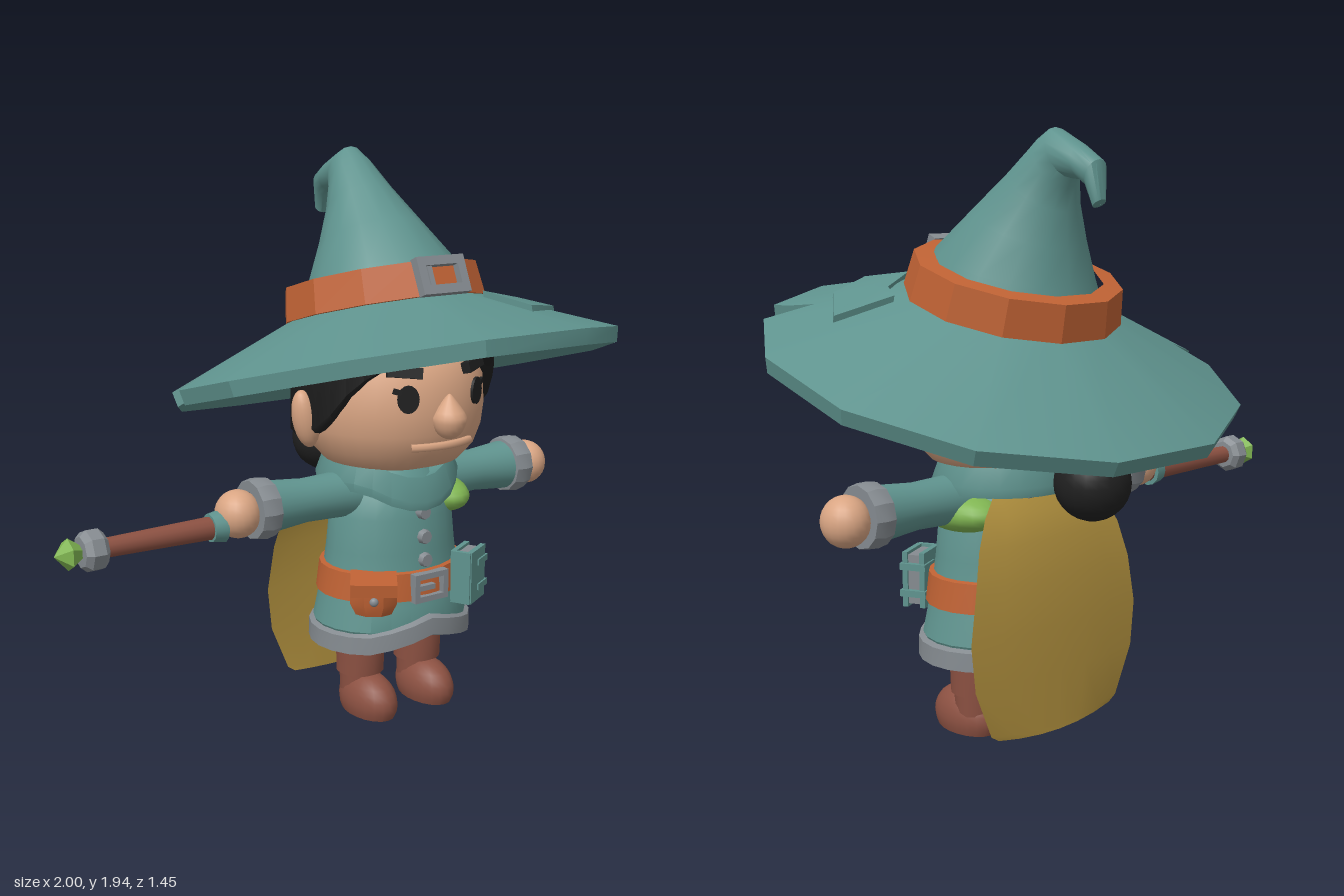
import * as THREE from 'three';
import { toCreasedNormals } from 'three/addons/utils/BufferGeometryUtils.js';

const mat = (name, color, side = THREE.FrontSide) => {
  const m = new THREE.MeshStandardMaterial({ color, side });
  m.name = name;
  return m;
};

// Joins rings of [x, y, z] points into a surface
function loft(rings, crease = 0.6, closed = true) {
  const n = rings[0].length, idx = [];
  for (let i = 0; i < rings.length - 1; i++) {
    for (let j = 0; j < (closed ? n : n - 1); j++) {
      const a = i * n + j, b = i * n + ((j + 1) % n), c = a + n, d = b + n;
      idx.push(a, c, b, b, c, d);
    }
  }
  const g = new THREE.BufferGeometry();
  g.setAttribute('position', new THREE.Float32BufferAttribute(rings.flat(2), 3));
  g.setIndex(idx);
  return toCreasedNormals(g, crease);
}

// Elliptical turned form from [radius, y] pairs, bottom to top
function turned(profile, sz = 1, n = 24, offset = 0, crease = 0.6, rule = (x, y, z) => [x, y, z]) {
  return loft(profile.map(([r, y]) => Array.from({ length: n }, (_, j) => {
    const a = offset + (j / n) * Math.PI * 2;
    return rule(r * Math.cos(a), y, r * sz * Math.sin(a));
  })), crease);
}

// Rectangular buckle with an open middle
function frame(w, h, t, depth) {
  const rect = (T, a, b) => new T([[-a, -b], [a, -b], [a, b], [-a, b]].map(p => new THREE.Vector2(...p)));
  const s = rect(THREE.Shape, w / 2, h / 2);
  s.holes.push(rect(THREE.Path, w / 2 - t, h / 2 - t));
  return new THREE.ExtrudeGeometry(s, { depth, bevelEnabled: false });
}

export function createModel() {
  const teal = mat('teal cloth', 0x5f938e, THREE.DoubleSide), orange = mat('orange leather', 0xbf6234);
  const skin = mat('skin', 0xd9a583), black = mat('black hair', 0x202020, THREE.DoubleSide);
  const grey = mat('grey metal', 0x858b90), brown = mat('brown leather', 0x8c5142);
  const green = mat('green', 0x80b552), gold = mat('gold cape', 0xb3923f, THREE.DoubleSide);

  const model = new THREE.Group();
  model.name = 'wizard';
  const body = new THREE.Group();
  body.name = 'figure';
  body.position.x = 0.25;
  model.add(body);

  const add = (name, geo, m, x = 0, y = 0, z = 0, rx = 0, ry = 0, rz = 0, parent = body) => {
    const mesh = new THREE.Mesh(geo, m);
    mesh.name = name;
    mesh.position.set(x, y, z);
    mesh.rotation.set(rx, ry, rz);
    parent.add(mesh);
    return mesh;
  };
  const box = (w, h, d) => new THREE.BoxGeometry(w, h, d);
  const ball = (rx, ry, rz) => new THREE.SphereGeometry(1, 20, 14).scale(rx, ry, rz);

  // Robe, hem and belt
  add('robe', turned([[0.01, 0.31], [0.27, 0.31], [0.285, 0.34], [0.268, 0.42], [0.25, 0.5], [0.237, 0.6],
    [0.225, 0.72], [0.2, 0.8], [0.14, 0.87], [0.1, 0.9]], 0.83), teal);
  const peak = (x, y, z) => [x, y + (z > 0 ? 0.055 * Math.max(0, 1 - Math.abs(x) / 0.22) : 0), z];
  add('hem', turned([[0.25, 0.275], [0.27, 0.255], [0.302, 0.265], [0.3, 0.325], [0.275, 0.335]], 0.83, 24, 0, 0.6, peak), grey);
  add('belt', turned([[0.24, 0.44], [0.274, 0.445], [0.262, 0.54], [0.235, 0.545]], 0.83), orange);
  add('beltBuckle', frame(0.14, 0.1, 0.02, 0.03), grey, 0, 0.49, 0.212);
  add('beltPin', box(0.07, 0.018, 0.02), grey, -0.02, 0.49, 0.232);
  for (const [y, z] of [[0.74, 0.187], [0.655, 0.194], [0.575, 0.2]])
    add('button', new THREE.CylinderGeometry(0.022, 0.03, 0.03, 8).rotateX(Math.PI / 2), grey, 0, y, z);

  // Collar dipping at the front
  add('collar', turned([[0.25, 0.82], [0.255, 0.85], [0.225, 0.93], [0.13, 0.87]], 0.92, 24, 0, 0.6, (x, y, z) => {
    const d = Math.max(0, z / Math.hypot(x, z) - 0.6) / 0.4;
    return [x, y - 0.07 * d, z - 0.025];
  }), teal);

  // Pouch and book on the belt
  const pouch = new THREE.Group();
  pouch.name = 'pouch';
  pouch.position.set(-0.2, 0.48, 0.18);
  pouch.rotation.y = -0.6;
  body.add(pouch);
  add('pouchBag', turned([[0.01, -0.065], [0.065, -0.06], [0.085, -0.02], [0.085, 0.045], [0.01, 0.05]], 0.75, 8, Math.PI / 8, 0.4), orange, 0, 0, 0, 0, 0, 0, pouch);
  add('pouchFlap', box(0.155, 0.045, 0.13), orange, 0, 0.042, 0, 0.1, 0, 0, pouch);
  add('pouchButton', ball(0.015, 0.015, 0.012), grey, 0, 0, 0.068, 0, 0, 0, pouch);
  const book = new THREE.Group();
  book.name = 'book';
  book.position.set(0.185, 0.495, 0.205);
  book.rotation.y = 0.5;
  body.add(book);
  for (const z of [-0.03, 0.03]) add('bookCover', box(0.125, 0.185, 0.018), teal, 0, 0, z, 0, 0, 0, book);
  add('bookPages', box(0.11, 0.165, 0.05), grey, 0, 0, 0, 0, 0, 0, book);
  add('bookSpine', box(0.016, 0.185, 0.07), teal, -0.06, 0, 0, 0, 0, 0, book);
  for (const y of [-0.045, 0.045]) add('bookStrap', box(0.08, 0.022, 0.09), teal, 0.032, y, 0, 0, 0, 0, book);

  // Arms, legs and boots
  for (const s of [-1, 1]) {
    const turn = -s * Math.PI / 2;
    add('sleeve', turned([[0.085, 0.12], [0.078, 0.24], [0.074, 0.36], [0.088, 0.51]]), teal, 0, 0.795, 0, 0, 0, turn);
    add('cuff', turned([[0.07, 0.495], [0.098, 0.5], [0.105, 0.535], [0.098, 0.57], [0.06, 0.57]], 1, 12, 0, 0.5), grey, 0, 0.795, 0, 0, 0, turn);
    add('hand', ball(0.075, 0.08, 0.08), skin, s * 0.615, 0.79, 0);

    add('trouserLeg', new THREE.CylinderGeometry(0.068, 0.066, 0.16, 16), teal, s * 0.125, 0.27, 0);
    add('bootShaft', turned([[0.07, 0.04], [0.074, 0.14], [0.084, 0.14], [0.087, 0.235], [0.06, 0.24]], 1, 16), brown, s * 0.125, 0, -0.003);
    const foot = ball(0.084, 0.1, 0.135), p = foot.attributes.position;
    for (let i = 0; i < p.count; i++) p.setY(i, Math.max(-0.045, p.getY(i)));
    add('bootFoot', toCreasedNormals(foot, 0.7), brown, s * 0.125, 0.045, 0.047);
  }

  // Shoulder leaf and cape
  add('shoulderLeaf', ball(0.1, 0.068, 0.17), green, 0.175, 0.752, 0.01);
  const capeRows = [[0.05, 0.24, -0.27], [0.07, 0.27, -0.27], [0.25, 0.335, -0.275], [0.4, 0.35, -0.275], [0.56, 0.325, -0.27],
    [0.68, 0.295, -0.25], [0.77, 0.25, -0.225], [0.84, 0.17, -0.18]];
  add('cape', loft(capeRows.map(([y, w, z]) => [1, 0.67, 0.33, 0, -0.33, -0.67, -1].map(u =>
    [u * w, y + (y < 0.1 ? 0.02 * u * u : 0), z + 0.02 * u * u])), 0.8, false), gold);
  add('capeClasp', box(0.14, 0.03, 0.02), grey, 0, 0.825, -0.2, 0.6);

  // Head and face
  add('head', turned([[0.01, 0.88], [0.16, 0.885], [0.24, 0.91], [0.285, 0.96], [0.31, 1.03], [0.318, 1.1], [0.312, 1.19],
    [0.275, 1.28], [0.18, 1.33], [0.01, 1.35]], 0.97, 32, 0, 1.2), skin);
  const nose = ball(0.058, 0.075, 0.06), np = nose.attributes.position;
  for (let i = 0; i < np.count; i++) {
    const k = 1 - 0.65 * Math.max(0, np.getY(i) / 0.075);
    np.setXYZ(i, np.getX(i) * k, np.getY(i), np.getZ(i) * k);
  }
  nose.computeVertexNormals();
  add('nose', nose, skin, 0, 1.095, 0.315);
  add('mouth', new THREE.TorusGeometry(0.292, 0.014, 6, 16, 0.85).rotateZ(Math.PI / 2 - 0.425).rotateX(Math.PI / 2), skin, 0, 0.995, 0.005);
  for (const s of [-1, 1]) {
    add('ear', ball(0.045, 0.1, 0.045), skin, s * 0.345, 1.07, -0.01, 0, 0, -s * 0.2);
    add('eye', new THREE.CylinderGeometry(1, 1, 0.009, 16).rotateX(Math.PI / 2).scale(0.036, 0.046, 1), black, s * 0.14, 1.16, 0.28, 0, s * 0.46);
    add('eyelash', box(0.03, 0.018, 0.009), black, s * 0.172, 1.185, 0.264, 0, s * 0.58, s * 0.3);
    add('eyebrow', box(0.115, 0.036, 0.03), black, s * 0.14, 1.245, 0.258, -0.25, s * 0.46, s * 0.2);
  }

  // Hair shell with a parted front, and a tied bun
  const hairline = [[0, 1.33], [25, 1.29], [45, 1.24], [60, 1.16], [75, 1.05], [95, 1.0], [180, 0.95]];
  const lineAt = deg => {
    const i = Math.max(1, hairline.findIndex(p => p[0] >= deg - 1e-6));
    const [a, ya] = hairline[i - 1], [b, yb] = hairline[i];
    return ya + ((yb - ya) * (deg - a)) / (b - a);
  };
  add('hair', loft([[0.82, 0], [0.96, 0.005], [1, 0.05], [1, 1]].map(([k, t]) => Array.from({ length: 36 }, (_, j) => {
    const a = j * Math.PI / 18, x = 0.352 * Math.cos(a), z = 0.335 * Math.sin(a);
    const low = lineAt(THREE.MathUtils.radToDeg(Math.acos(THREE.MathUtils.clamp(Math.sin(a), -1, 1))));
    return [x * k, low + (1.36 + 0.28 * z - low) * t, z * k];
  })), 0.9), black);
  add('bun', ball(0.12, 0.12, 0.12), black, 0, 0.885, -0.415);
  add('bunTie', new THREE.CylinderGeometry(0.075, 0.075, 0.08, 12), teal, 0, 0.97, -0.325, Math.PI / 4);

  // Hat brim with two notches, on a tilted group
  const hat = new THREE.Group();
  hat.name = 'hat';
  hat.position.y = 1.22;
  hat.rotation.x = -0.27;
  body.add(hat);
  const rim = [[0.75, 0.2], [0.59, 0.48], [0.45, 0.42], [0.48, 0.52], [0.48, 0.6], [0.2, 0.75], [-0.2, 0.75], [-0.55, 0.55],
    [-0.75, 0.2], [-0.75, -0.13], [-0.61, -0.17], [-0.71, -0.26], [-0.55, -0.55], [-0.2, -0.75], [0.2, -0.75], [0.55, -0.55], [0.75, -0.2]];
  const slope = (x, z) => 0.42 * (0.776 - Math.hypot(x, z));
  const brimRing = (inner, drop, k = 1) => rim.map(([x, z]) => {
    const f = inner ? 0.3 / Math.hypot(x, z) : k;
    return [x * f, (inner ? 0.2 : slope(x, z)) - drop, z * f];
  });
  add('brim', loft([brimRing(true, 0.05), brimRing(false, 0.05, 0.985), brimRing(false, 0), brimRing(true, 0)], 0.5), teal, 0, 0, 0, 0, 0, 0, hat);
  const patch = [[0.52, 0.21], [0.39, 0.41], [0.18, 0.54], [0.15, 0.35], [0.31, 0.24], [0.35, 0.15]];
  add('brimPatch', loft([patch.map(([x, z]) => [x, slope(x, z) - 0.02, z]), patch.map(([x, z]) => [x, slope(x, z) + 0.018, z]),
    patch.map(([x, z]) => [0.32 + x * 0.001, slope(0.32, 0.32) + 0.018, 0.32 + z * 0.001])], 0.5), teal, 0, 0, 0, 0, 0, 0, hat);
  add('hatBand', turned([[0.29, 0.175], [0.348, 0.185], [0.332, 0.3], [0.27, 0.305]], 1, 12, Math.PI / 12, 0.2), orange, 0, 0, 0, 0, 0, 0, hat);
  add('hatBuckle', frame(0.19, 0.125, 0.03, 0.035), grey, 0, 0.243, 0.32, -0.14, 0, 0, hat);
  add('hatBucklePin', box(0.018, 0.08, 0.03), grey, -0.045, 0.243, 0.332, -0.14, 0, 0, hat);

  // Pointed crown with a bent tip: front z, y, back z, y, half width
  const crown = [[0.25, 1.5, -0.34, 1.36, 0.29], [0.18, 1.6, -0.315, 1.46, 0.25], [0.04, 1.715, -0.305, 1.58, 0.18],
    [-0.1, 1.825, -0.3, 1.69, 0.12], [-0.2, 1.91, -0.305, 1.76, 0.085], [-0.25, 1.94, -0.32, 1.79, 0.07],
    [-0.36, 1.89, -0.375, 1.785, 0.055], [-0.44, 1.845, -0.4, 1.765, 0.042], [-0.455, 1.73, -0.42, 1.705, 0.022],
    [-0.441, 1.716, -0.44, 1.715, 0.001]];
  add('crown', loft(crown.map(([fz, fy, bz, by, w]) => Array.from({ length: 16 }, (_, j) => {
    const a = j * Math.PI / 8, s = Math.sin(a) / 2;
    return [w * Math.cos(a), (fy + by) / 2 + (fy - by) * s, (fz + bz) / 2 + (fz - bz) * s];
  })), 0.8), teal);

  // Staff held in the right hand
  const staff = new THREE.Group();
  staff.name = 'staff';
  staff.position.set(-0.4, 0.757, -0.005);
  staff.rotation.z = Math.PI / 2;
  model.add(staff);
  add('staffRod', new THREE.CylinderGeometry(0.031, 0.04, 0.48, 12), brown, 0, 0.22, 0, 0, 0, 0, staff);
  add('staffRing', new THREE.CylinderGeometry(0.047, 0.055, 0.045, 12), teal, 0, 0.045, 0, 0, 0, 0, staff);
  add('staffCollar', turned([[0.02, 0.435], [0.05, 0.437], [0.067, 0.455], [0.067, 0.495], [0.05, 0.515], [0.01, 0.517]], 1, 8, 0, 0.2), grey, 0, 0, 0, 0, 0, 0, staff);
  add('staffGem', turned([[0.02, 0.51], [0.052, 0.555], [0.001, 0.6]], 1, 6, 0, 0.1), green, 0, 0, 0, 0, 0, 0, staff);

  return model;
}
